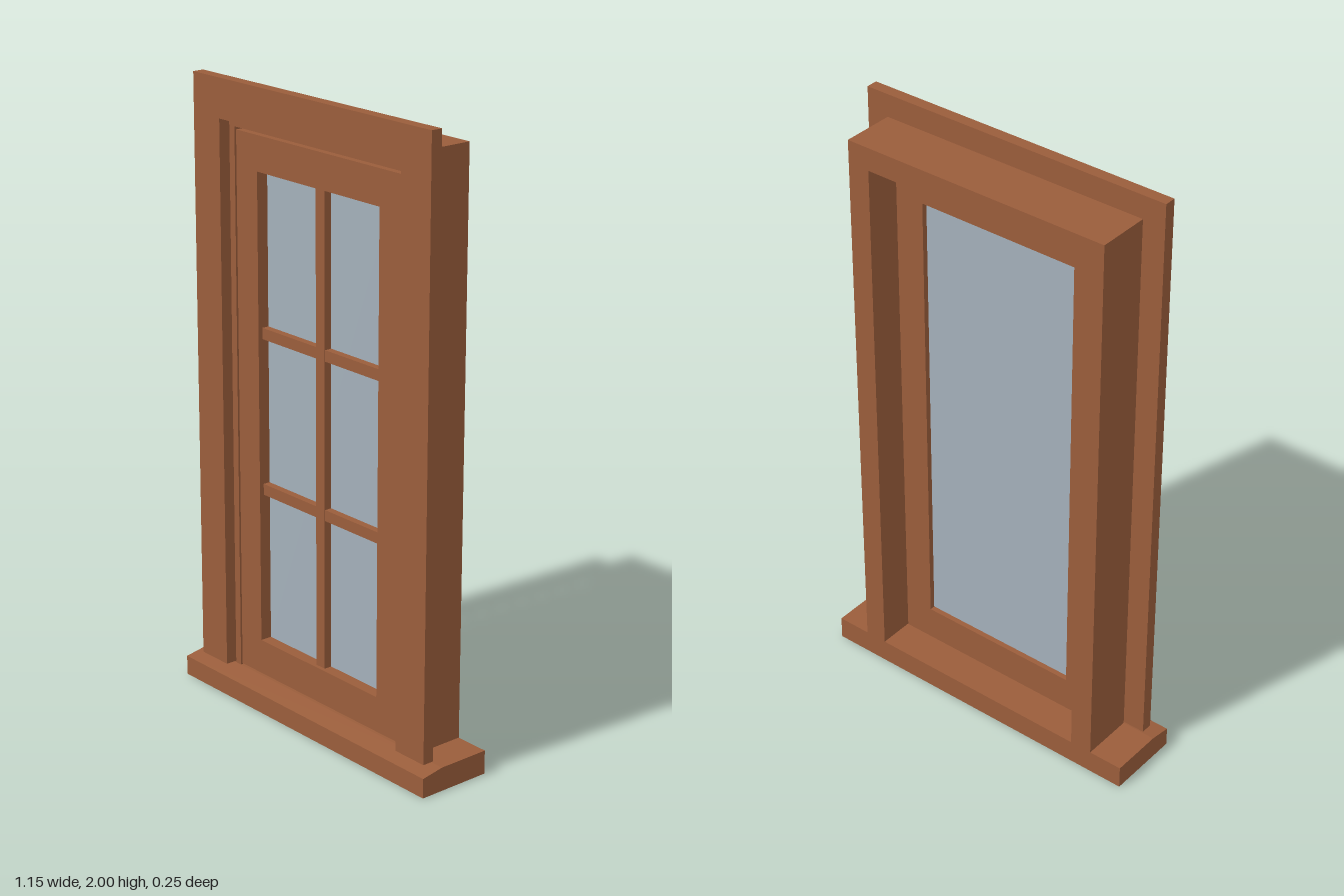
import * as THREE from 'three';

const wood = new THREE.MeshStandardMaterial({ color: 0x9a5d3b });
wood.name = 'brown wood';
const glass = new THREE.MeshStandardMaterial({ color: 0xa4b0ba });
glass.name = 'grey blue glass';

// Flat polygon in x/y, extruded from z0 to z1
function board(name, points, z0, z1, material = wood, holes = []) {
  const shape = new THREE.Shape(points.map(([x, y]) => new THREE.Vector2(x, y)));
  for (const hole of holes) {
    shape.holes.push(new THREE.Path(hole.map(([x, y]) => new THREE.Vector2(x, y))));
  }
  const geometry = new THREE.ExtrudeGeometry(shape, { depth: z1 - z0, bevelEnabled: false });
  geometry.translate(0, 0, z0);
  const mesh = new THREE.Mesh(geometry, material);
  mesh.name = name;
  return mesh;
}

const rect = (x0, x1, y0, y1) => [[x0, y0], [x1, y0], [x1, y1], [x0, y1]];

// Three mitred boards: two uprights and a head, open at the bottom
function mitredSurround(name, outer, inner, bottom, top, innerTop, z0, z1) {
  const group = new THREE.Group();
  group.name = name;
  for (const s of [-1, 1]) {
    group.add(board(s > 0 ? name + 'Left' : name + 'Right',
      [[s * outer, bottom], [s * inner, bottom], [s * inner, innerTop], [s * outer, top]], z0, z1));
  }
  group.add(board(name + 'Head',
    [[-outer, top], [-inner, innerTop], [inner, innerTop], [outer, top]], z0, z1));
  return group;
}

export function createModel() {
  const model = new THREE.Group();
  model.name = 'window';

  // Sill: side profile with a sloping front, run along x
  const profile = new THREE.Shape([[0.125, 0], [0.125, 0.077], [-0.05, 0.077], [-0.125, 0.064], [-0.125, 0]]
    .map(([x, y]) => new THREE.Vector2(x, y)));
  const sillGeometry = new THREE.ExtrudeGeometry(profile, { depth: 1.15, bevelEnabled: false });
  sillGeometry.translate(0, 0, -0.575).rotateY(Math.PI / 2);
  // after the turn, profile x becomes -z
  const sill = new THREE.Mesh(sillGeometry, wood);
  sill.name = 'sill';
  model.add(sill);

  // Deep frame and the casing on its front
  model.add(mitredSurround('frame', 0.46, 0.385, 0.077, 1.925, 1.85, -0.125, 0.05));
  model.add(mitredSurround('casing', 0.535, 0.41, 0.082, 2, 1.875, 0.05, 0.088));

  // Sash with a narrow clearance to the frame
  const sash = new THREE.Group();
  sash.name = 'sash';
  const w = 0.278, y0 = 0.2, y1 = 1.73;
  sash.add(board('sashFrame', rect(-0.377, 0.377, 0.085, 1.842), -0.015, 0.05, wood, [rect(-w, w, y0, y1)]));
  sash.add(board('pane', rect(-w, w, y0, y1), 0.003, 0.011, glass));

  // Glazing bars: one upright, two rows of crossbars
  sash.add(board('uprightBar', rect(-0.02, 0.02, y0, y1), 0.011, 0.037));
  for (const i of [1, 2]) {
    const y = y0 + (y1 - y0) * i / 3;
    for (const s of [-1, 1]) {
      const ends = [s * 0.02, s * w].sort((a, b) => a - b);
      sash.add(board('crossBar', rect(ends[0], ends[1], y - 0.018, y + 0.018), 0.011, 0.035));
    }
  }
  model.add(sash);
  return model;
}
